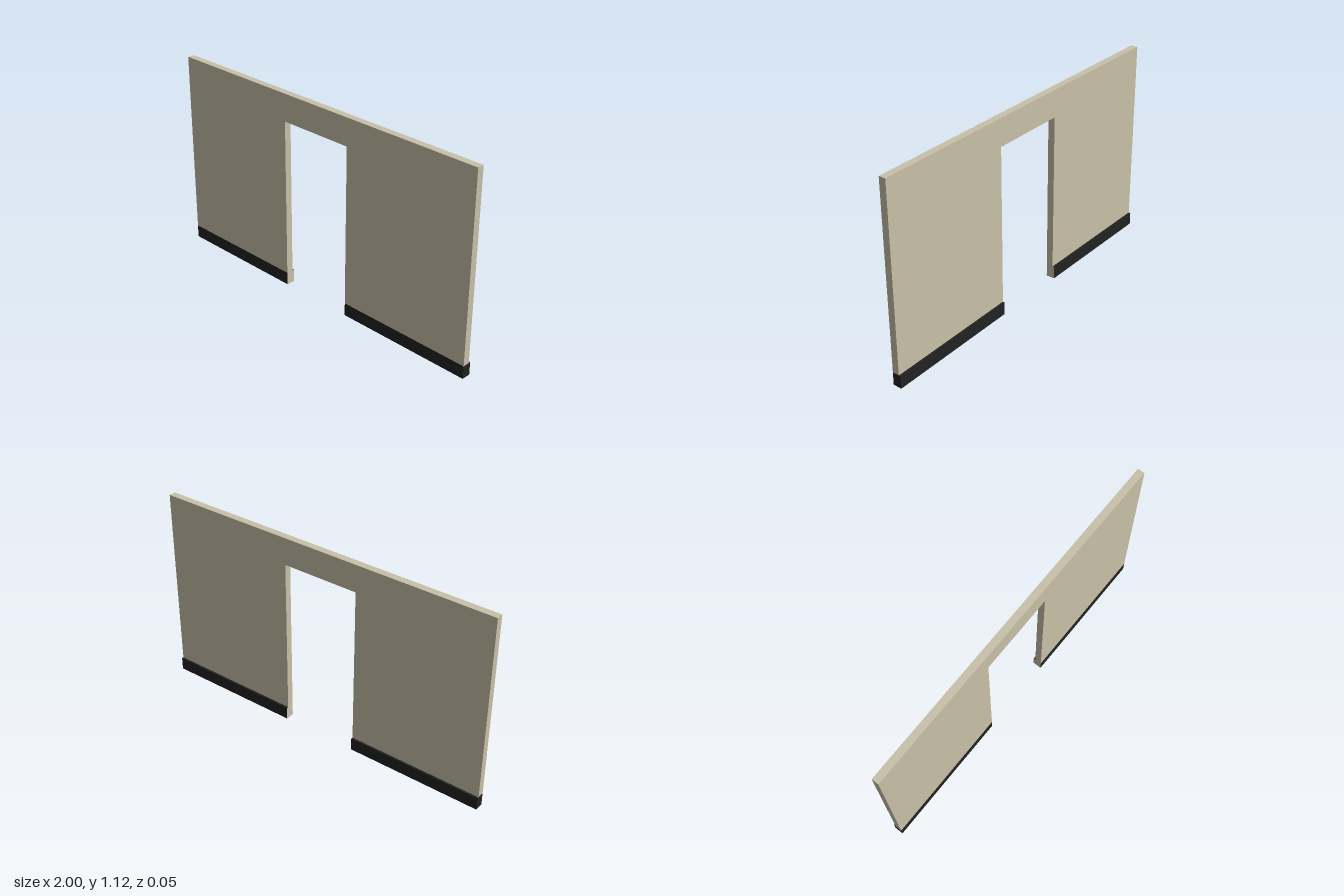
import * as THREE from 'three';

export function createModel() {
  const model = new THREE.Group();
  model.name = 'wallWithDoorway';

  const plaster = new THREE.MeshStandardMaterial({ color: 0xc8c1a9 });
  plaster.name = 'beige plaster';
  const black = new THREE.MeshStandardMaterial({ color: 0x222222 });
  black.name = 'black skirting';

  const height = 1.125, doorTop = 0.972, doorLeft = 0.21, doorRight = -0.228;
  const skirtTop = 0.073, front = 0.025, wallBack = -0.014, skirtBack = -0.025;

  // Wall outline above the skirting, notched by the doorway
  const outline = new THREE.Shape([
    [-1, skirtTop], [doorRight, skirtTop], [doorRight, doorTop], [doorLeft, doorTop],
    [doorLeft, skirtTop], [1, skirtTop], [1, height], [-1, height],
  ].map(([x, y]) => new THREE.Vector2(x, y)));
  const wall = new THREE.Mesh(
    new THREE.ExtrudeGeometry(outline, { depth: front - wallBack, bevelEnabled: false }), plaster);
  wall.name = 'wall';
  wall.position.z = wallBack;
  model.add(wall);

  // Skirting, flush in front and proud behind; its doorway end is plaster
  function addSkirting(name, x0, x1, doorFace) {
    const faces = Array(6).fill(black);
    faces[doorFace] = plaster;
    const mesh = new THREE.Mesh(
      new THREE.BoxGeometry(x1 - x0, skirtTop, front - skirtBack), faces);
    mesh.name = name;
    mesh.position.set((x0 + x1) / 2, skirtTop / 2, (front + skirtBack) / 2);
    model.add(mesh);
  }
  addSkirting('rightSkirting', -1, doorRight, 0);
  addSkirting('leftSkirting', doorLeft, 1, 1);

  return model;
}
